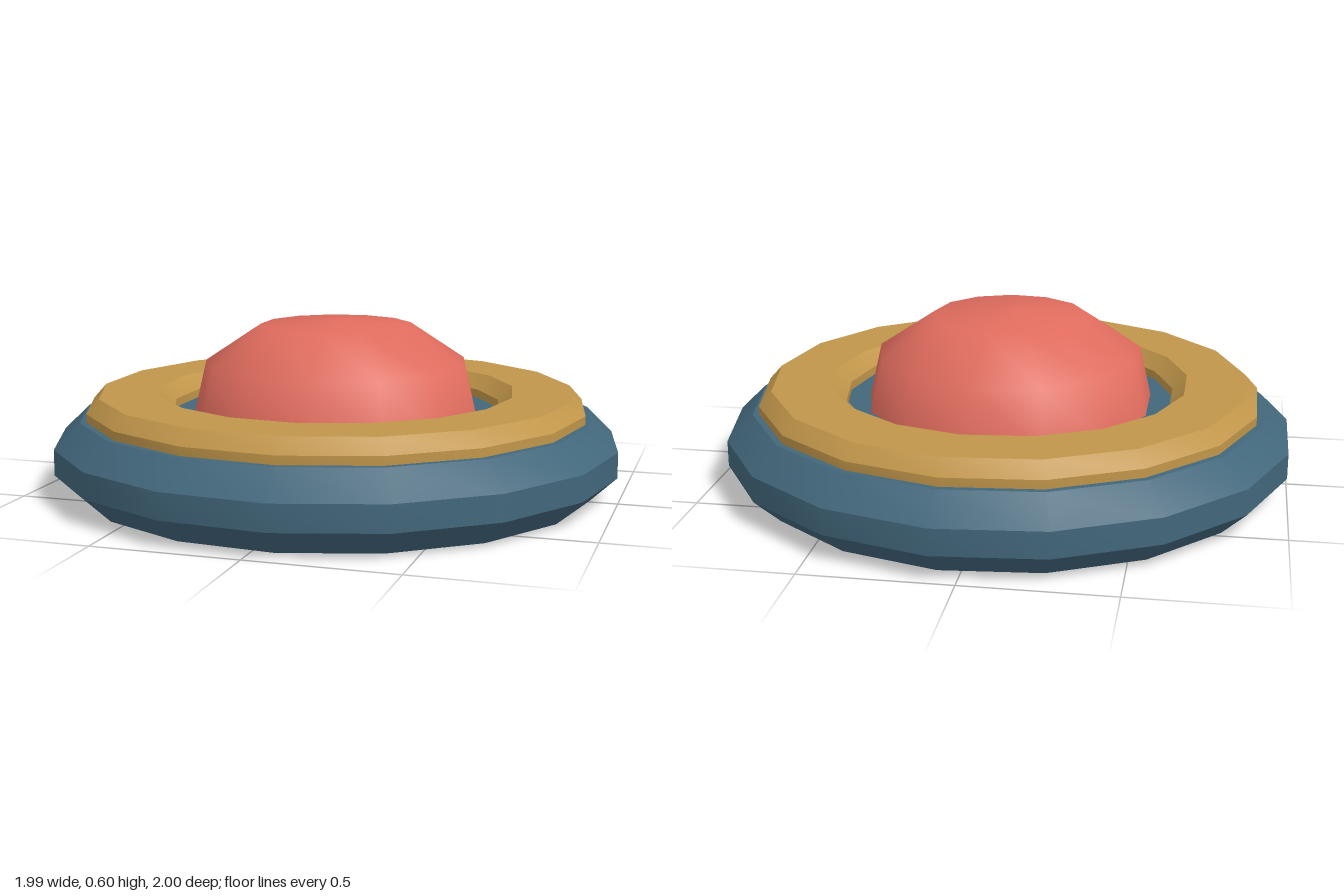
import * as THREE from 'three';
import { toCreasedNormals } from 'three/addons/utils/BufferGeometryUtils.js';

const material = (name, color) => {
  const m = new THREE.MeshStandardMaterial({ color });
  m.name = name;
  return m;
};

// Turned solid from [radius, height] points, with one corner on +x
const turn = (points, sides) =>
  new THREE.LatheGeometry(points.map(([r, y]) => new THREE.Vector2(r, y)), sides, Math.PI / 2);

export function createModel() {
  const blue = material('slate blue', 0x42677b);
  const gold = material('gold', 0xc1964a);
  const red = material('coral red', 0xe06c5e);
  const dark = material('dark rubber', 0x262e2b);

  const model = new THREE.Group();
  model.name = 'domeButton';
  const add = (name, geometry, mat) => {
    const mesh = new THREE.Mesh(geometry, mat);
    mesh.name = name;
    mesh.position.x = -0.0085; // odd side count: recentre the bounds
    model.add(mesh);
  };
  const CREASE = 0.6; // smooth around, sharp between bands

  // Bevelled base disc
  add('base', toCreasedNormals(turn([
    [0, 0.002], [0.91, 0.002], [1.004, 0.09], [1.004, 0.18], [0.912, 0.27], [0, 0.27],
  ], 17), CREASE), blue);

  // Thin pad on the underside
  add('underPad', toCreasedNormals(turn([
    [0, 0], [0.86, 0], [0.86, 0.004], [0, 0.004],
  ], 17), CREASE), dark);

  // Bevelled collar with an open well
  add('collarRing', toCreasedNormals(turn([
    [0.89, 0.27], [0.89, 0.3], [0.845, 0.35], [0.635, 0.35], [0.585, 0.3], [0.585, 0.27],
  ], 17), CREASE), gold);

  // Smooth dome
  add('dome', turn([
    [0.515, 0.25], [0.468, 0.45], [0.27, 0.582], [0, 0.602],
  ], 13), red);

  return model;
}
